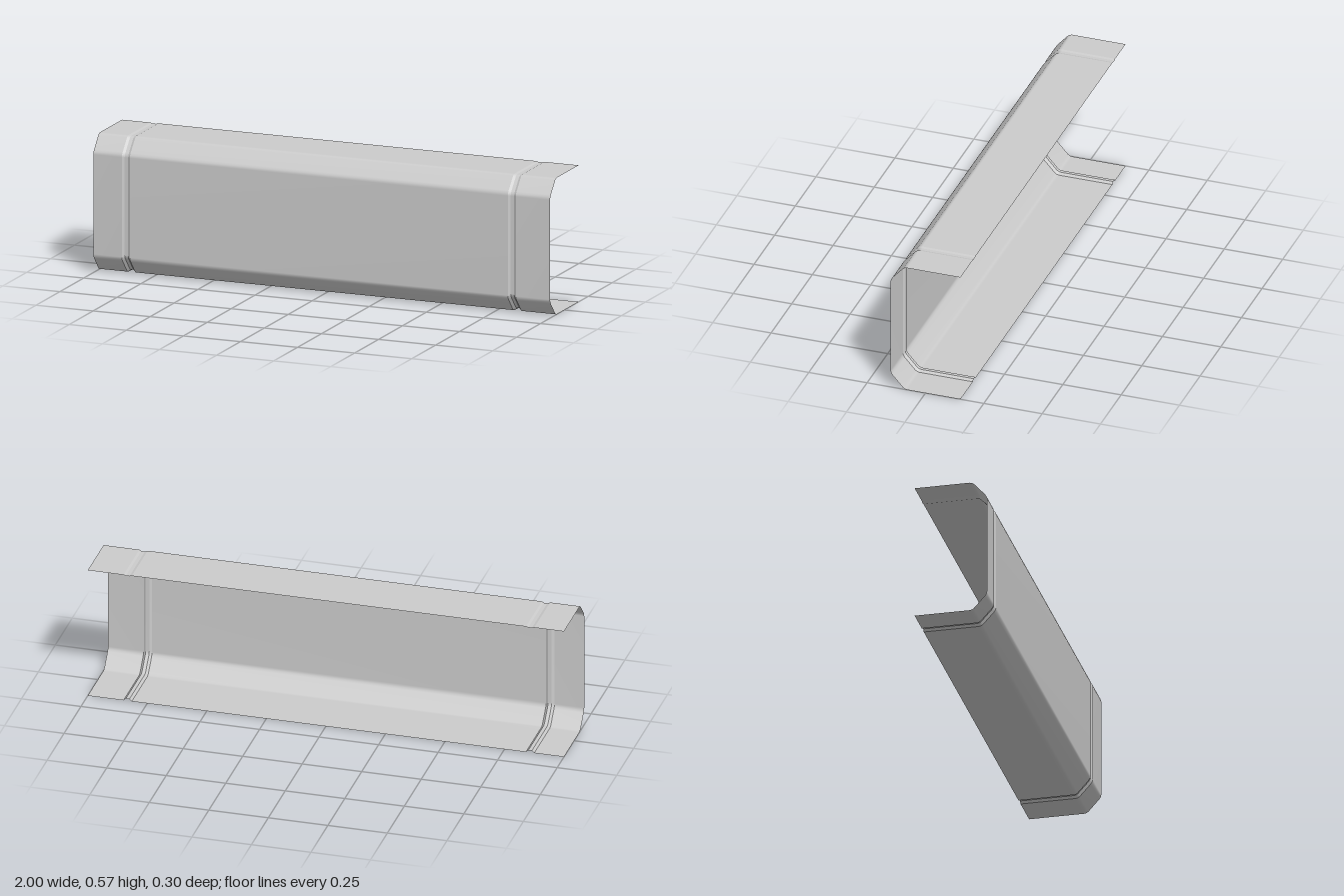
import * as THREE from 'three';

const HEIGHT = 0.568;

// Cross-section [z, y] from the lower rear edge, round the front, to the upper rear edge
const lower = [[-0.15, 0], [0.079, 0], [0.088, 0.002], [0.096, 0.007], [0.141, 0.057], [0.147, 0.066], [0.15, 0.077]];
const outer = [...lower, ...lower.map(([z, y]) => [z, HEIGHT - y]).reverse()];

// Slightly smaller section used for the floor of the pressed grooves
const inner = outer.map(([z, y]) => [-0.15 + (z + 0.15) * 0.98, 0.009 + y * (0.556 / HEIGHT)]);

// Thin sheet lofted between two sections; smooth along the section only
function strip(name, x0, section0, x1, section1, material) {
  const positions = [];
  const indices = [];
  section0.forEach(([z, y], i) => {
    positions.push(x0, y, z, x1, section1[i][1], section1[i][0]);
    if (i > 0) {
      const a = 2 * i - 2;
      indices.push(a, a + 1, a + 3, a, a + 3, a + 2);
    }
  });
  const geometry = new THREE.BufferGeometry();
  geometry.setAttribute('position', new THREE.Float32BufferAttribute(positions, 3));
  geometry.setIndex(indices);
  geometry.computeVertexNormals();
  const mesh = new THREE.Mesh(geometry, material);
  mesh.name = name;
  return mesh;
}

// Groove pressed into the sheet: sloped wall, flat floor, sloped wall
function groove(name, x, material) {
  const group = new THREE.Group();
  group.name = name;
  group.add(
    strip('grooveOuterWall', x, outer, x + 0.01, inner, material),
    strip('grooveFloor', x + 0.01, inner, x + 0.025, inner, material),
    strip('grooveInnerWall', x + 0.025, inner, x + 0.035, outer, material),
  );
  return group;
}

export function createModel() {
  const material = new THREE.MeshStandardMaterial({ color: 0xcccccc, side: THREE.DoubleSide });
  const model = new THREE.Group();
  model.name = 'channelCover';
  model.add(
    strip('rightEndPanel', -1, outer, -0.875, outer, material),
    groove('rightGroove', -0.875, material),
    strip('mainPanel', -0.84, outer, 0.815, outer, material),
    groove('leftGroove', 0.815, material),
    strip('leftEndPanel', 0.85, outer, 1, outer, material),
  );
  return model;
}
